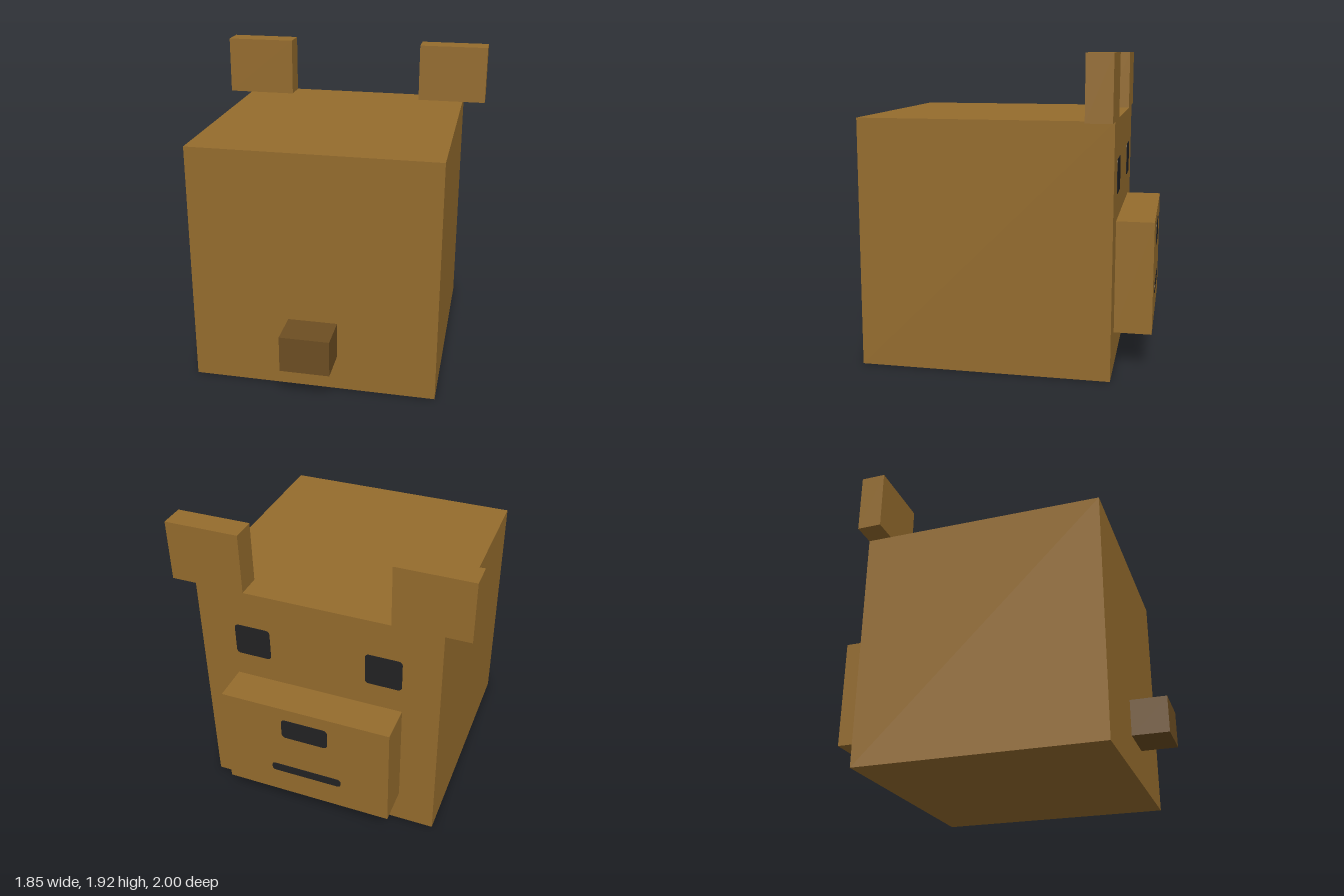
import * as THREE from 'three';

export function createModel() {
  const model = new THREE.Group();
  const fur = new THREE.MeshStandardMaterial({ color: 0x956c2d });
  fur.name = 'brown fur';
  const darkFur = new THREE.MeshStandardMaterial({ color: 0x6d4e22 });
  darkFur.name = 'dark brown fur';
  const black = new THREE.MeshStandardMaterial({ color: 0x222224 });
  black.name = 'face black';

  // Block given by its lower and upper corners
  function block(name, [x0, y0, z0], [x1, y1, z1], material) {
    const mesh = new THREE.Mesh(new THREE.BoxGeometry(x1 - x0, y1 - y0, z1 - z0), material);
    mesh.position.set((x0 + x1) / 2, (y0 + y1) / 2, (z0 + z1) / 2);
    mesh.name = name;
    model.add(mesh);
  }

  // Thin plate with rounded corners, laid on a surface facing -z
  function plate(name, x, y, z, w, h, r) {
    const a = w / 2, b = h / 2;
    const shape = new THREE.Shape();
    shape.absarc(a - r, b - r, r, 0, Math.PI / 2);
    shape.absarc(-a + r, b - r, r, Math.PI / 2, Math.PI);
    shape.absarc(-a + r, -b + r, r, Math.PI, Math.PI * 1.5);
    shape.absarc(a - r, -b + r, r, Math.PI * 1.5, Math.PI * 2);
    const geometry = new THREE.ExtrudeGeometry(shape, { depth: 0.004, bevelEnabled: false, curveSegments: 4 });
    const mesh = new THREE.Mesh(geometry, black);
    mesh.position.set(x, y, z - 0.003);
    mesh.name = name;
    model.add(mesh);
  }

  // Body, snout and tail
  block('body', [-0.77, 0, -0.77], [0.77, 1.54, 0.77], fur);
  block('snout', [-0.54, 0.23, -1], [0.54, 0.925, -0.77], fur);
  block('tail', [-0.154, 0.23, 0.77], [0.154, 0.46, 1], darkFur);

  // Ears and eyes, mirrored
  for (const [side, s] of [['left', 1], ['right', -1]]) {
    const xs = [0.46 * s, 0.925 * s].sort((a, b) => a - b);
    block(side + 'Ear', [xs[0], 1.54, -0.77], [xs[1], 1.925, -0.615], fur);
    plate(side + 'Eye', 0.42 * s, 1.193, -0.77, 0.23, 0.212, 0.025);
  }

  // Nose and mouth on the snout
  plate('nose', 0, 0.77, -1, 0.3, 0.14, 0.025);
  plate('mouth', 0, 0.428, -1, 0.46, 0.058, 0.02);

  return model;
}
